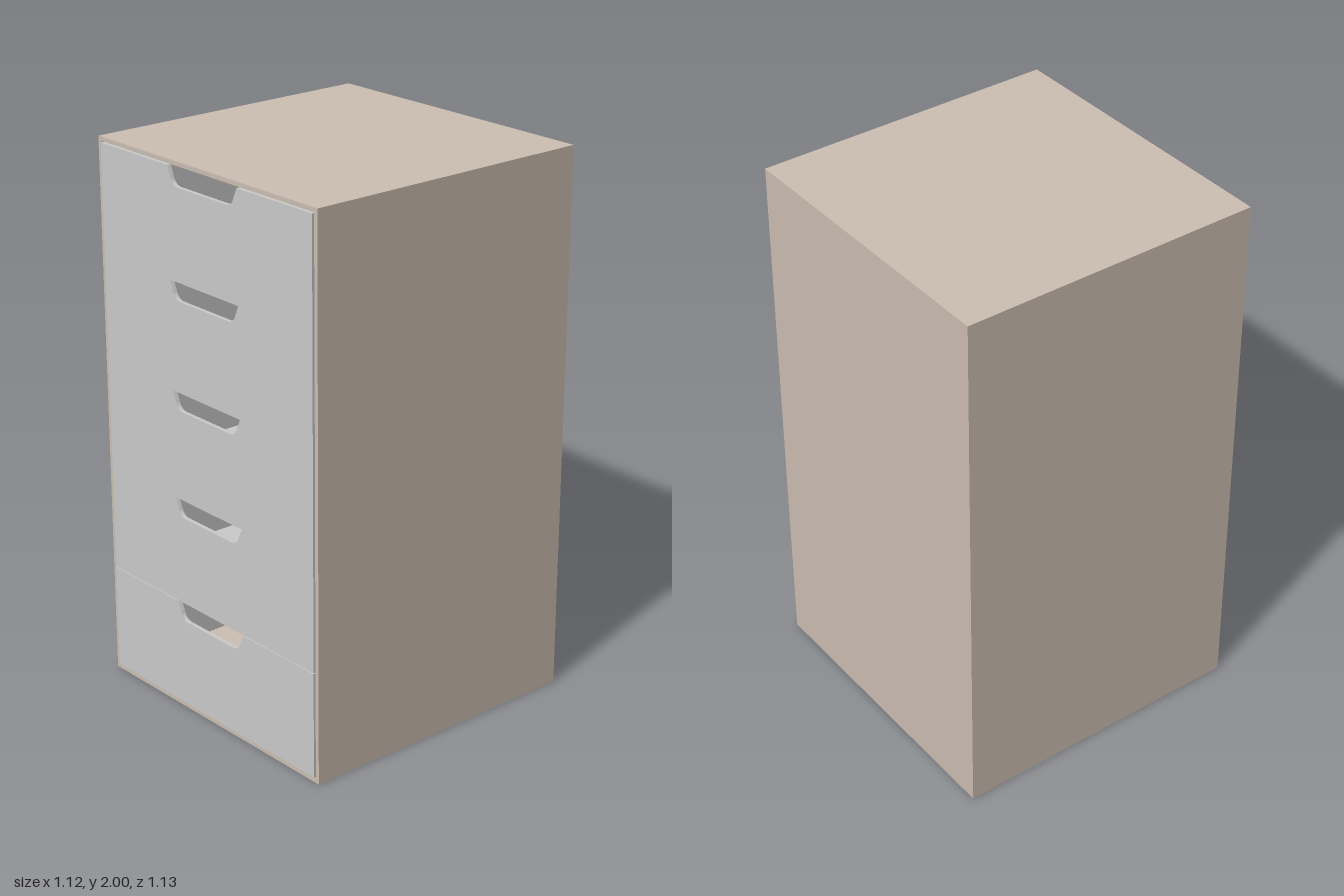
import * as THREE from 'three';

const W = 1.13, H = 2, D = 1.125;     // cabinet width, height, depth
const T = 0.015;                      // board thickness
const LIP = 0.005;                    // drawer fronts stand proud of the case
const COUNT = 5;

const wood = new THREE.MeshStandardMaterial({ color: 0xcdbfb2 });
const grey = new THREE.MeshStandardMaterial({ color: 0xcccccc });

function box(name, w, h, d, x, y, z, material) {
  const mesh = new THREE.Mesh(new THREE.BoxGeometry(w, h, d), material);
  mesh.name = name;
  mesh.position.set(x, y, z);
  return mesh;
}

// Drawer front with a rounded finger notch in its top edge
function frontPanel(w, h) {
  const s = new THREE.Shape();
  const top = 0.18, low = 0.165, flat = 0.125, drop = 0.066;
  s.moveTo(-w / 2, 0);
  s.lineTo(w / 2, 0);
  s.lineTo(w / 2, h);
  s.lineTo(top, h);
  s.lineTo(low, h - drop * 0.5);
  s.quadraticCurveTo(low - 0.01, h - drop, flat, h - drop);
  s.lineTo(-flat, h - drop);
  s.quadraticCurveTo(-low + 0.01, h - drop, -low, h - drop * 0.5);
  s.lineTo(-top, h);
  s.lineTo(-w / 2, h);
  const geometry = new THREE.ExtrudeGeometry(s, { depth: T, bevelEnabled: false, curveSegments: 8 });
  const mesh = new THREE.Mesh(geometry, grey);
  mesh.name = 'drawerFront';
  return mesh;
}

export function createModel() {
  const model = new THREE.Group();
  model.name = 'drawerCabinet';

  // Case: five boards, open where the drawers go in
  const cabinet = new THREE.Group();
  cabinet.name = 'case';
  const depth = D - LIP, cz = -LIP / 2;
  for (const side of [-1, 1]) {
    cabinet.add(box('sideBoard', T, H, depth, side * (W - T) / 2, H / 2, cz, wood));
  }
  cabinet.add(box('topBoard', W - 2 * T, T, depth, 0, H - T / 2, cz, wood));
  cabinet.add(box('bottomBoard', W - 2 * T, T, depth, 0, T / 2, cz, wood));
  cabinet.add(box('backBoard', W - 2 * T, H - 2 * T, T, 0, H / 2, -D / 2 + T / 2, wood));
  model.add(cabinet);

  // Drawers: open boxes behind notched fronts
  const gap = 0.004;
  const w = W - 2 * T - 2 * gap;
  const pitch = (H - 2 * T - 2 * gap) / COUNT;
  const back = -D / 2 + T + gap, front = D / 2 - T;
  const len = front - back, mid = (front + back) / 2;
  for (let i = 0; i < COUNT; i++) {
    const drawer = new THREE.Group();
    drawer.name = 'drawer';
    drawer.position.y = T + gap + i * pitch;
    const h = i === 0 ? pitch - 0.003 : pitch;
    const panel = frontPanel(w, h);
    panel.position.z = front;
    drawer.add(panel);
    const wallH = h - 0.02;
    for (const side of [-1, 1]) {
      drawer.add(box('drawerSide', 0.01, wallH, len, side * (w - 0.01) / 2, wallH / 2, mid, grey));
    }
    drawer.add(box('drawerBack', w - 0.02, wallH, 0.01, 0, wallH / 2, back + 0.005, grey));
    // The lowest drawer shows the case floor
    if (i > 0) drawer.add(box('drawerFloor', w - 0.02, 0.01, len - 0.01, 0, 0.005, mid + 0.005, grey));
    model.add(drawer);
  }

  // Drawers open toward -x
  model.rotation.y = -Math.PI / 2;
  const root = new THREE.Group();
  root.name = 'cabinet';
  root.add(model);
  return root;
}
